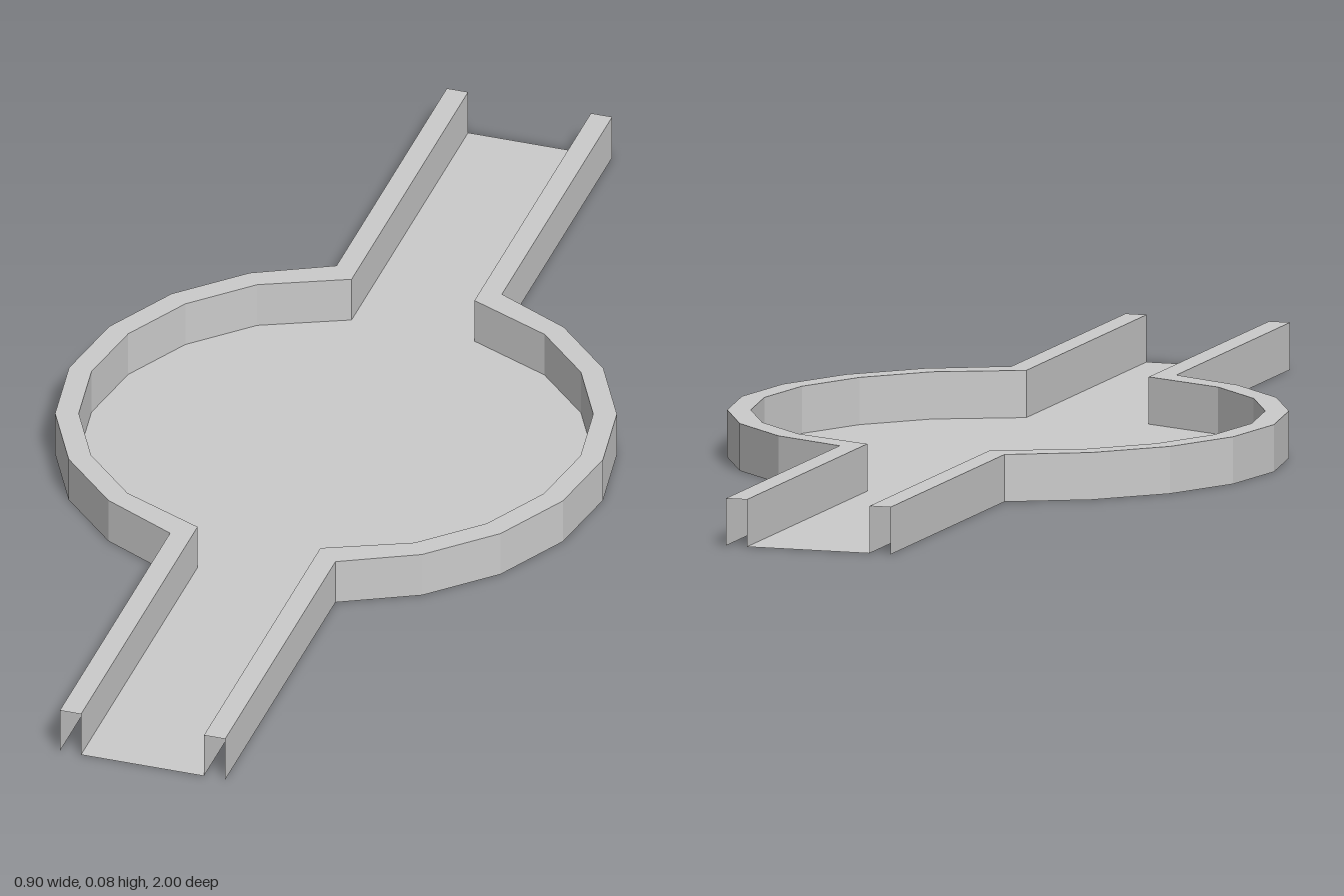
import * as THREE from 'three';

const HEIGHT = 0.077;
const material = new THREE.MeshStandardMaterial({ color: 0xcccccc, flatShading: true, side: THREE.DoubleSide });

// Outline of the +x half, front end to back end: straight channel, faceted basin, straight channel
function halfOutline(radius, channelX, cornerZ) {
  const points = [[channelX, 1], [channelX, cornerZ]];
  for (let deg = 54; deg >= -54; deg -= 18) {
    const a = THREE.MathUtils.degToRad(deg);
    points.push([radius * Math.cos(a), radius * Math.sin(a)]);
  }
  points.push([channelX, -cornerZ], [channelX, -1]);
  return points;
}

const mirror = (points) => points.map(([x, z]) => [-x, z]);

// Strip of quads between two paths, each at its own height
function strip(name, a, ya, b, yb, flip) {
  const positions = [];
  for (let i = 0; i < a.length - 1; i++) {
    const p = [a[i][0], ya, a[i][1]];
    const q = [a[i + 1][0], ya, a[i + 1][1]];
    const r = [b[i + 1][0], yb, b[i + 1][1]];
    const s = [b[i][0], yb, b[i][1]];
    const corners = flip ? [p, r, q, p, s, r] : [p, q, r, p, r, s];
    positions.push(...corners.flat());
  }
  const geometry = new THREE.BufferGeometry();
  geometry.setAttribute('position', new THREE.Float32BufferAttribute(positions, 3));
  geometry.computeVertexNormals();
  const mesh = new THREE.Mesh(geometry, material);
  mesh.name = name;
  return mesh;
}

export function createModel() {
  const model = new THREE.Group();
  model.name = 'basinWithChannels';
  const outer = halfOutline(0.452, 0.14, 0.43);
  const inner = halfOutline(0.414, 0.104, 0.398);

  // Thin floor spanning both halves
  model.add(strip('floor', inner, 0, mirror(inner), 0, false));

  // Hollow walls, open at the ends and underneath
  for (const side of ['left', 'right']) {
    const flip = side === 'right';
    const o = flip ? mirror(outer) : outer;
    const i = flip ? mirror(inner) : inner;
    const wall = new THREE.Group();
    wall.name = side + 'Wall';
    wall.add(
      strip('outerFace', o, 0, o, HEIGHT, flip),
      strip('rim', o, HEIGHT, i, HEIGHT, flip),
      strip('innerFace', i, HEIGHT, i, 0, flip)
    );
    model.add(wall);
  }
  return model;
}
